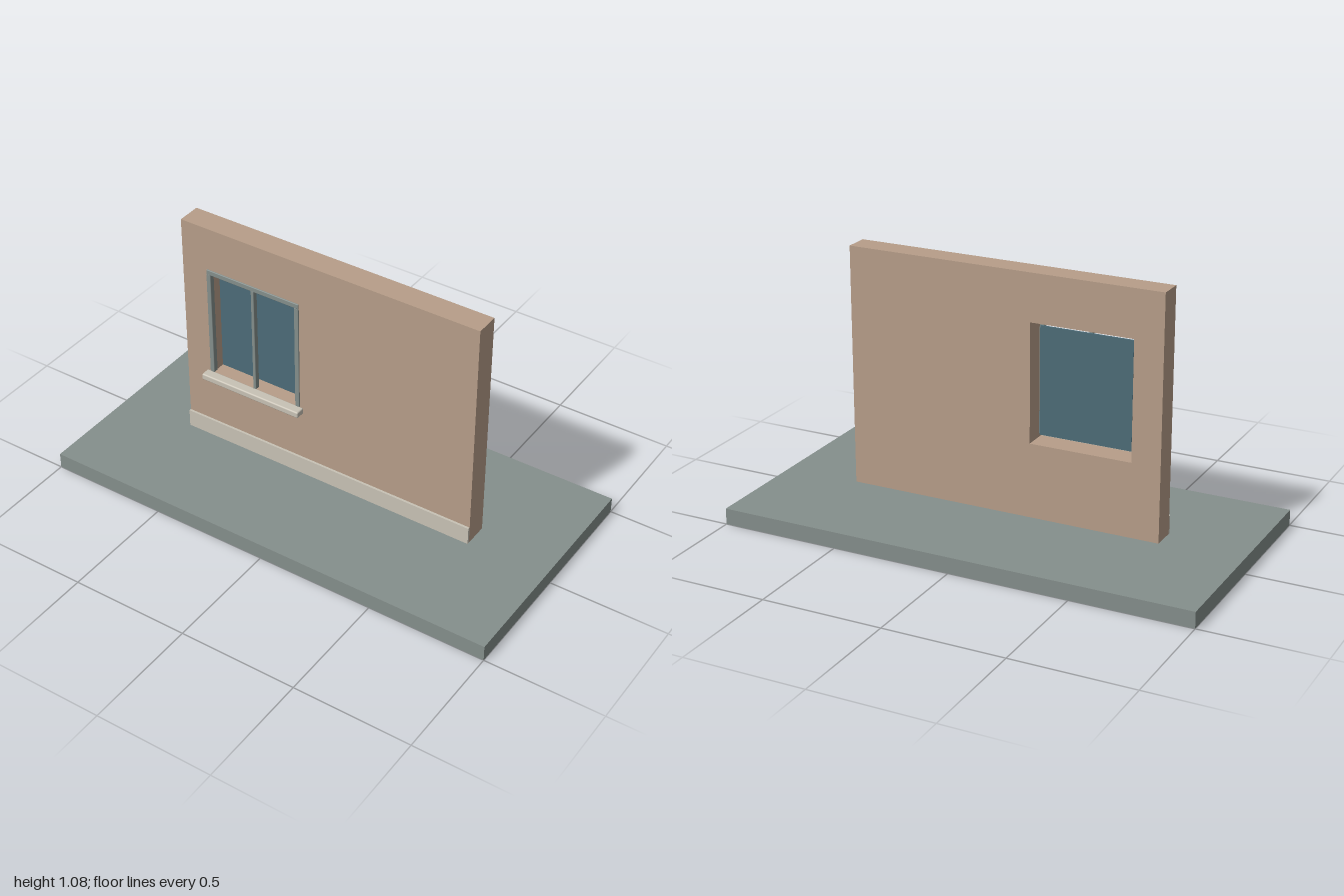
import * as THREE from 'three';
import { RoundedBoxGeometry } from 'three/addons/geometries/RoundedBoxGeometry.js';

const material = (name, color) => {
  const m = new THREE.MeshStandardMaterial({ color });
  m.name = name;
  return m;
};

export function createModel() {
  const group = new THREE.Group();
  const slate = material('slate grey', 0x858f8c);
  const clay = material('clay render', 0xb79e89);
  const stone = material('pale stone', 0xc8c2b5);
  const glass = material('blue glass', 0x4d6c78);

  const add = (name, geometry, mat, parent = group) => {
    const mesh = new THREE.Mesh(geometry, mat);
    mesh.name = name;
    parent.add(mesh);
    return mesh;
  };
  // Box given by its extents on each axis, optionally with rounded edges
  const block = (name, mat, [x0, x1], [y0, y1], [z0, z1], radius = 0, parent = group) => {
    const size = [x1 - x0, y1 - y0, z1 - z0];
    const geometry = radius
      ? new RoundedBoxGeometry(...size, 3, radius)
      : new THREE.BoxGeometry(...size);
    const mesh = add(name, geometry, mat, parent);
    mesh.position.set((x0 + x1) / 2, (y0 + y1) / 2, (z0 + z1) / 2);
    return mesh;
  };
  const rect = (path, x0, x1, y0, y1) =>
    path.moveTo(x0, y0).lineTo(x1, y0).lineTo(x1, y1).lineTo(x0, y1).closePath();

  // Ground slab
  block('baseSlab', slate, [-1, 1], [0, 0.067], [-0.5, 0.5]);

  // Wall with a window opening, floating just above the slab
  const shape = rect(new THREE.Shape(), -0.667, 0.667, 0.077, 1.077);
  shape.holes.push(rect(new THREE.Path(), -0.547, -0.12, 0.387, 0.88));
  const wallGeometry = new THREE.ExtrudeGeometry(shape, { depth: 0.1, bevelEnabled: false });
  add('wall', wallGeometry.translate(0, 0, -0.05), clay);

  // Plinth strip along the foot of the front
  block('plinth', stone, [-0.667, 0.667], [0.077, 0.153], [0.05, 0.06]);

  // Window: pane set mid-wall, frame bars near the front face
  const win = new THREE.Group();
  win.name = 'window';
  group.add(win);
  block('glassPane', glass, [-0.527, -0.14], [0.412, 0.857], [-0.004, 0.004], 0, win);
  const depth = [0.032, 0.055];
  for (const [name, x, w] of [['frameRight', -0.542, 0.02], ['mullion', -0.334, 0.014], ['frameLeft', -0.129, 0.02]])
    block(name, slate, [x - w / 2, x + w / 2], [0.4, 0.87], depth, 0.003, win);
  block('frameTop', slate, [-0.552, -0.119], [0.868, 0.89], depth, 0.003, win);

  // Projecting sill
  block('sill', stone, [-0.568, -0.102], [0.374, 0.402], [0.05, 0.092], 0.006, win);

  return group;
}
